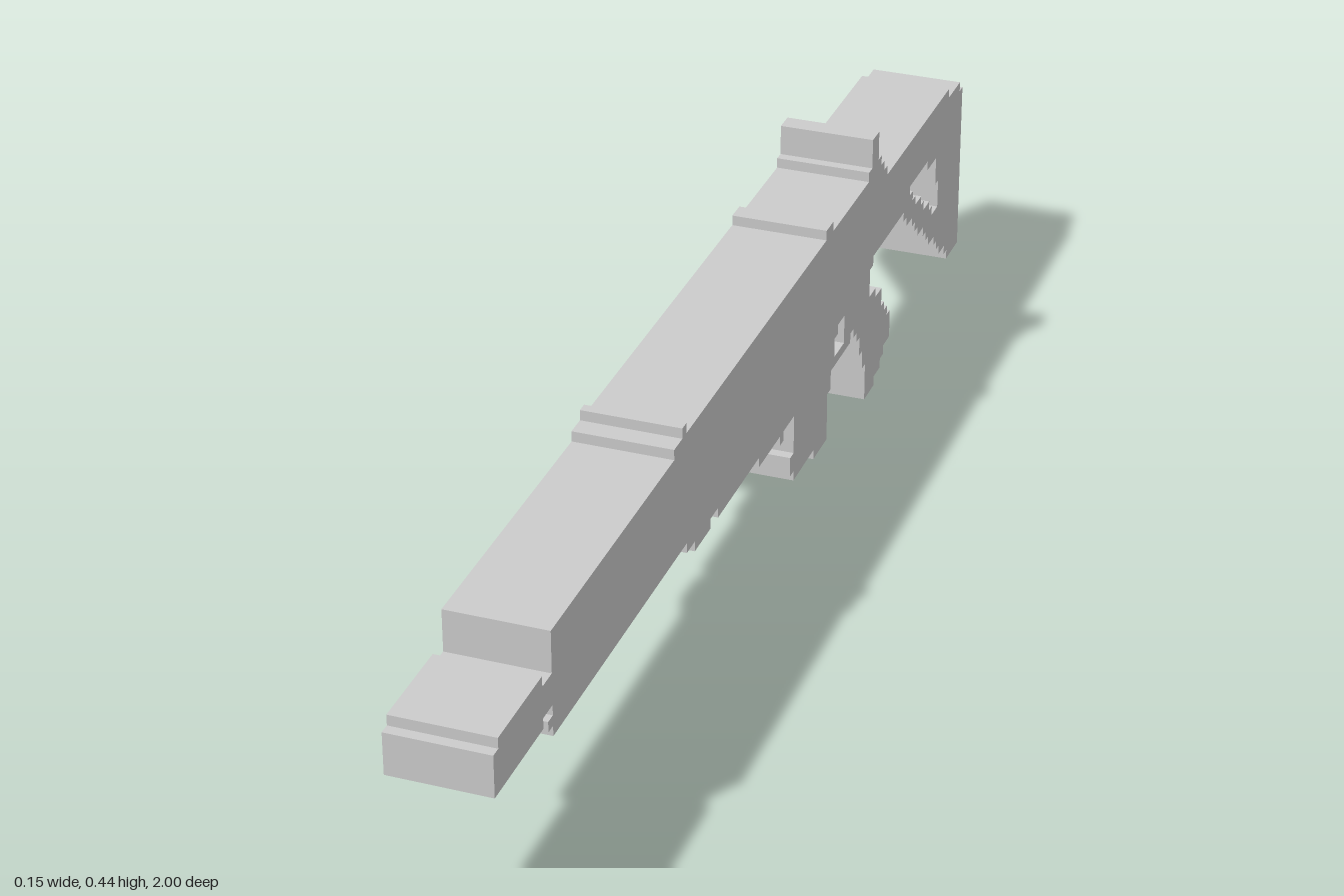
import * as THREE from 'three';

const U = 2 / 126;      // size of one stair step
const WIDTH = 0.148;    // thickness of the whole slab

// Stepped outline from [column, row] runs: each run keeps its row until the
// next run's column. Columns count back from the front, rows up from the base.
function steppedPoints(runs) {
  const points = [];
  runs.forEach(([c, r], i) => {
    const next = runs[(i + 1) % runs.length][0];
    points.push(new THREE.Vector2(1 - c * U, r * U), new THREE.Vector2(1 - next * U, r * U));
  });
  return points;
}

export function createModel() {
  const group = new THREE.Group();
  const material = new THREE.MeshStandardMaterial({ color: 0xcccccc, flatShading: true });

  function addSlab(name, runs, hole) {
    const shape = new THREE.Shape(steppedPoints(runs));
    if (hole) shape.holes.push(new THREE.Path(steppedPoints(hole)));
    const geometry = new THREE.ExtrudeGeometry(shape, { depth: WIDTH, bevelEnabled: false });
    geometry.translate(0, 0, -WIDTH / 2).rotateY(-Math.PI / 2);
    const mesh = new THREE.Mesh(geometry, material);
    mesh.name = name;
    group.add(mesh);
  }

  // Muzzle block with its narrow neck, and the small lug below it
  addSlab('muzzle', [[0, 19], [1, 20], [10, 19], [12, 16], [10, 15]]);
  addSlab('frontLug', [[11, 15], [12, 14]]);

  // Long body with sights on top, stepped underside and trigger opening
  addSlab('body', [
    [12, 23], [40, 24], [42, 25], [43, 24], [81, 25], [83, 24],
    [94, 25], [95, 28], [97, 25], [98, 24], [99, 23],
    [100, 15], [96, 14], [95, 9], [90, 10], [89, 9], [83, 10],
    [69, 9], [68, 10], [62, 11], [51, 12], [49, 11], [45, 12], [43, 13],
  ], [[84, 12], [85, 13], [87, 10]]);

  // Magazine
  addSlab('magazine', [[72, 10], [83, 7], [82, 2], [78, 3], [72, 4], [71, 6]]);

  // Slanted grip
  addSlab('grip', [
    [91, 9], [95, 11], [97, 10], [99, 8], [100, 7], [101, 6],
    [102, 3], [100, 2], [99, 1], [97, 0], [94, 4], [93, 6], [92, 8],
  ]);

  // Stock with a stair-stepped lower edge and an opening above the strut
  const stock = [[100, 22], [121, 21], [125, 20], [126, 2]];
  for (let r = 3; r <= 15; r++) stock.push([Math.round(122 - (r - 3) * 16 / 12), r]);
  addSlab('stock', stock, [
    [108, 17], [114, 16], [117, 13], [118, 10], [116, 11],
    [115, 12], [113, 13], [112, 14], [110, 15], [109, 16],
  ]);

  return group;
}
